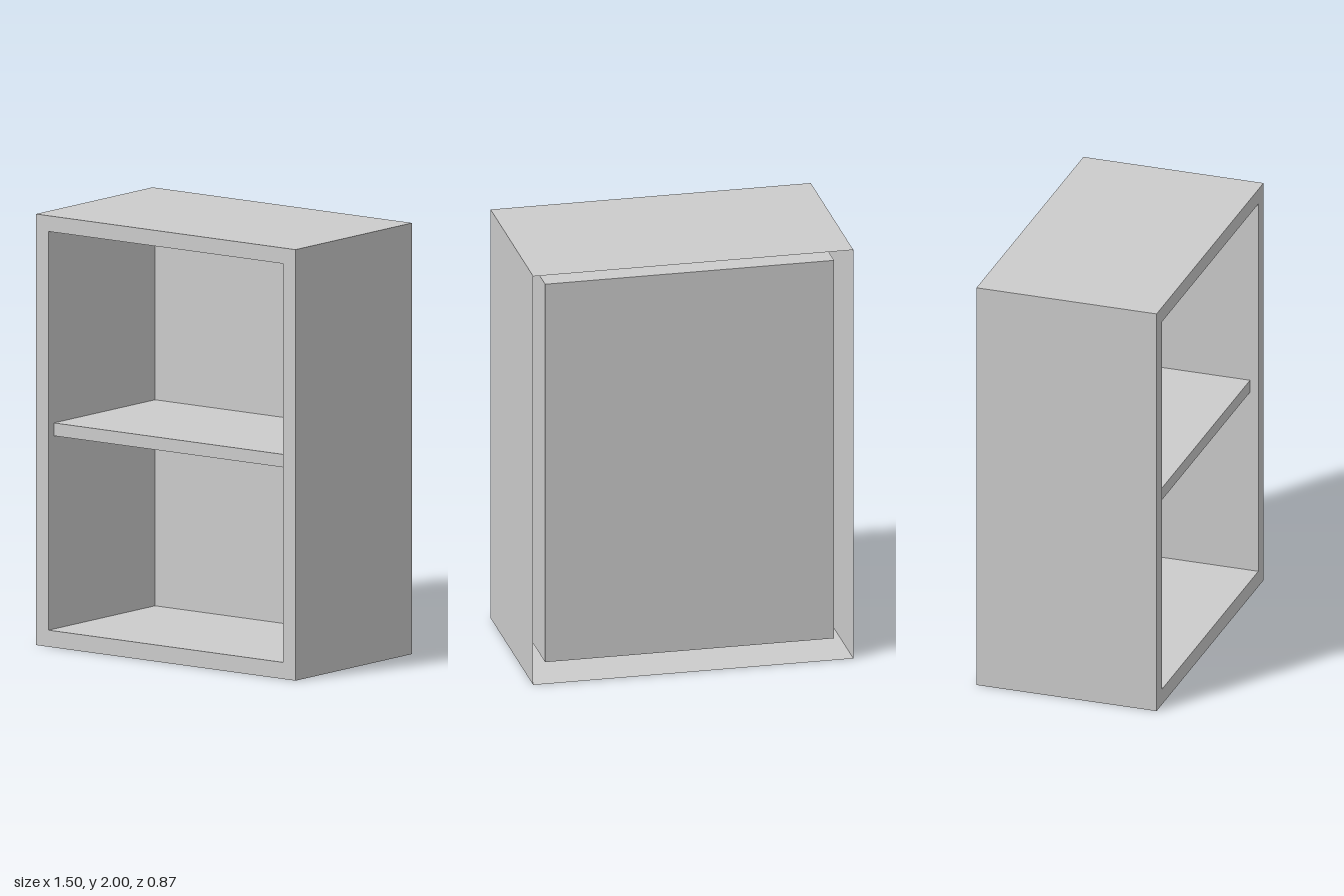
import * as THREE from 'three';

const W = 1.5, H = 2, D = 0.87;          // outer size
const IX = 0.677, Y0 = 0.077, Y1 = 1.927; // opening
const FRONT = D / 2, INNER_BACK = -0.36;

const material = new THREE.MeshStandardMaterial({ color: 0xcccccc, side: THREE.DoubleSide });

function add(parent, name, geometry, x, y, z) {
  const mesh = new THREE.Mesh(geometry, material);
  mesh.name = name;
  mesh.position.set(x, y, z);
  parent.add(mesh);
  return mesh;
}

// Four thin walls around a rectangle, running from zBack to the front;
// facing = 1 turns them outward, -1 inward
function sleeve(name, halfW, y0, y1, zBack, facing) {
  const group = new THREE.Group();
  group.name = name;
  const depth = FRONT - zBack, z = (FRONT + zBack) / 2, h = y1 - y0;
  for (const s of [-1, 1]) {
    const side = new THREE.PlaneGeometry(depth, h).rotateY(s * facing * Math.PI / 2);
    add(group, s > 0 ? 'leftWall' : 'rightWall', side, s * halfW, (y0 + y1) / 2, z);
    const flat = new THREE.PlaneGeometry(2 * halfW, depth).rotateX(-s * facing * Math.PI / 2);
    add(group, s > 0 ? 'topWall' : 'bottomWall', flat, 0, s > 0 ? y1 : y0, z);
  }
  return group;
}

function rectangle(PathType, halfW, y0, y1) {
  return new PathType([[-halfW, y0], [halfW, y0], [halfW, y1], [-halfW, y1]]
    .map(([x, y]) => new THREE.Vector2(x, y)));
}

export function createModel() {
  const model = new THREE.Group();
  model.name = 'shelfCabinet';

  // Outer casing, open at the back
  model.add(sleeve('outerCasing', W / 2, 0, H, -D / 2, 1));

  // Inner compartment, open at the front and closed by a recessed back panel
  const compartment = sleeve('innerCompartment', IX, Y0, Y1, INNER_BACK, -1);
  add(compartment, 'backPanel', new THREE.PlaneGeometry(2 * IX, Y1 - Y0), 0, (Y0 + Y1) / 2, INNER_BACK);
  model.add(compartment);

  // Front rim joining casing and compartment
  const rim = rectangle(THREE.Shape, W / 2, 0, H);
  rim.holes.push(rectangle(THREE.Path, IX, Y0, Y1));
  add(model, 'frontRim', new THREE.ShapeGeometry(rim), 0, 0, FRONT);

  // Middle shelf, set slightly behind the rim
  const shelfFront = 0.395;
  add(model, 'shelf', new THREE.BoxGeometry(2 * IX, 0.06, shelfFront - INNER_BACK),
    0, 1.003, (shelfFront + INNER_BACK) / 2);

  return model;
}
